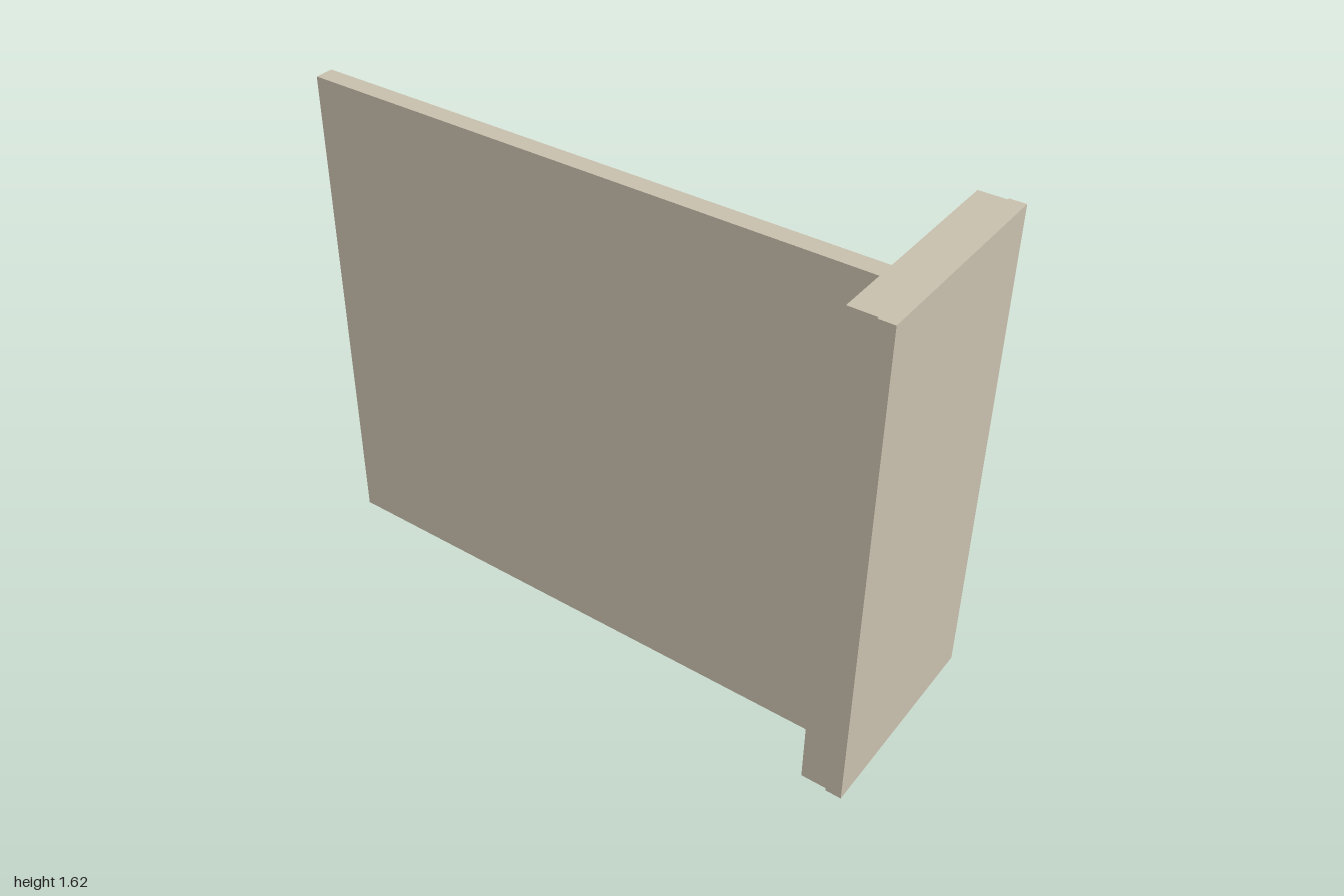
import * as THREE from 'three';

const HEIGHT = 1.62;

// Upright prism from plan outline points [x, z]
function prism(name, outline, material) {
  const shape = new THREE.Shape(outline.map(([x, z]) => new THREE.Vector2(x, -z)));
  const geometry = new THREE.ExtrudeGeometry(shape, { depth: HEIGHT, bevelEnabled: false });
  geometry.rotateX(-Math.PI / 2);
  const mesh = new THREE.Mesh(geometry, material);
  mesh.name = name;
  return mesh;
}

export function createModel() {
  const group = new THREE.Group();
  group.name = 'wallSection';
  const plaster = new THREE.MeshStandardMaterial({ color: 0xc8bfad });
  plaster.name = 'beige plaster';

  // T-shaped plan: stepped front pier with an off-centre wall running back
  group.add(prism('pierAndWall', [
    [-0.345, 1], [0.345, 1], [0.345, 0.95], [0.338, 0.95], [0.338, 0.865],
    [-0.12, 0.865], [-0.12, -1], [-0.18, -1], [-0.18, 0.865],
    [-0.338, 0.865], [-0.338, 0.95], [-0.345, 0.95],
  ], plaster));
  return group;
}
